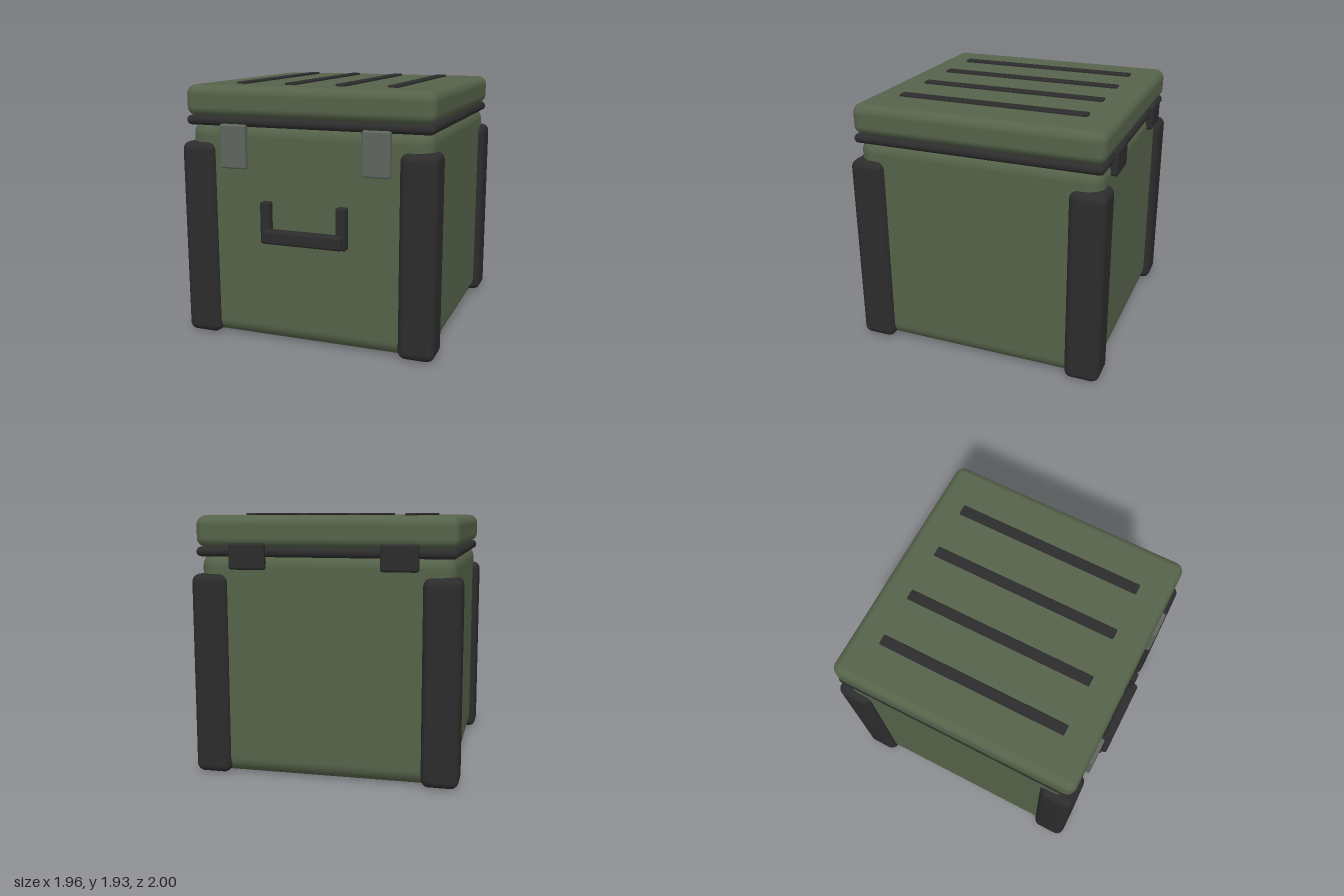
import * as THREE from 'three';
import { RoundedBoxGeometry } from 'three/addons/geometries/RoundedBoxGeometry.js';

function material(name, color) {
  const m = new THREE.MeshStandardMaterial({ color });
  m.name = name;
  return m;
}

export function createModel() {
  const green = material('olive green', 0x56634a);
  const black = material('rubber black', 0x2c2c2d);
  const grey = material('latch grey', 0x60655f);
  const crate = new THREE.Group();
  crate.name = 'crate';

  // Rounded box given by its extents on each axis
  function block(name, mat, [x0, x1], [y0, y1], [z0, z1], radius, segments = 4) {
    const geometry = new RoundedBoxGeometry(x1 - x0, y1 - y0, z1 - z0, segments, radius);
    const mesh = new THREE.Mesh(geometry, mat);
    mesh.name = name;
    mesh.position.set((x0 + x1) / 2, (y0 + y1) / 2, (z0 + z1) / 2);
    crate.add(mesh);
  }
  // Extents mirrored to the chosen side of x = 0
  const mirrored = (side, a, b) => (side > 0 ? [a, b] : [-b, -a]);

  // Body, seal and lid
  block('body', green, [-0.93, 0.93], [0, 1.66], [-0.95, 0.91], 0.12, 6);
  block('seal', black, [-0.945, 0.945], [1.615, 1.685], [-0.965, 0.925], 0.034);
  block('lid', green, [-0.95, 0.95], [1.68, 1.91], [-0.97, 0.93], 0.07, 5);

  // Raised strips on the lid
  for (const x of [-0.59, -0.197, 0.197, 0.59]) {
    block('lidStrip', black, [x - 0.04, x + 0.04], [1.88, 1.926], [-0.75, 0.7], 0.008, 2);
  }

  for (const side of [-1, 1]) {
    const name = side > 0 ? 'left' : 'right';
    // Corner guards
    block(name + 'FrontGuard', black, mirrored(side, 0.71, 0.98), [0.005, 1.49], [0.69, 0.957], 0.06);
    block(name + 'BackGuard', black, mirrored(side, 0.71, 0.98), [0.005, 1.49], [-0.997, -0.73], 0.06);
    // Front latches and back hinges
    block(name + 'Latch', grey, mirrored(side, 0.445, 0.65), [1.31, 1.635], [0.895, 0.957], 0.015, 3);
    block(name + 'Hinge', black, mirrored(side, 0.415, 0.685), [1.525, 1.715], [-0.995, -0.93], 0.02, 3);
    // Handle brackets
    block(name + 'HandleBracket', black, mirrored(side, 0.255, 0.333), [0.77, 1.08], [0.885, 0.965], 0.015, 3);
  }

  // Handle bar
  block('handleBar', black, [-0.313, 0.313], [0.775, 0.88], [0.92, 1.0], 0.022, 3);

  return crate;
}
